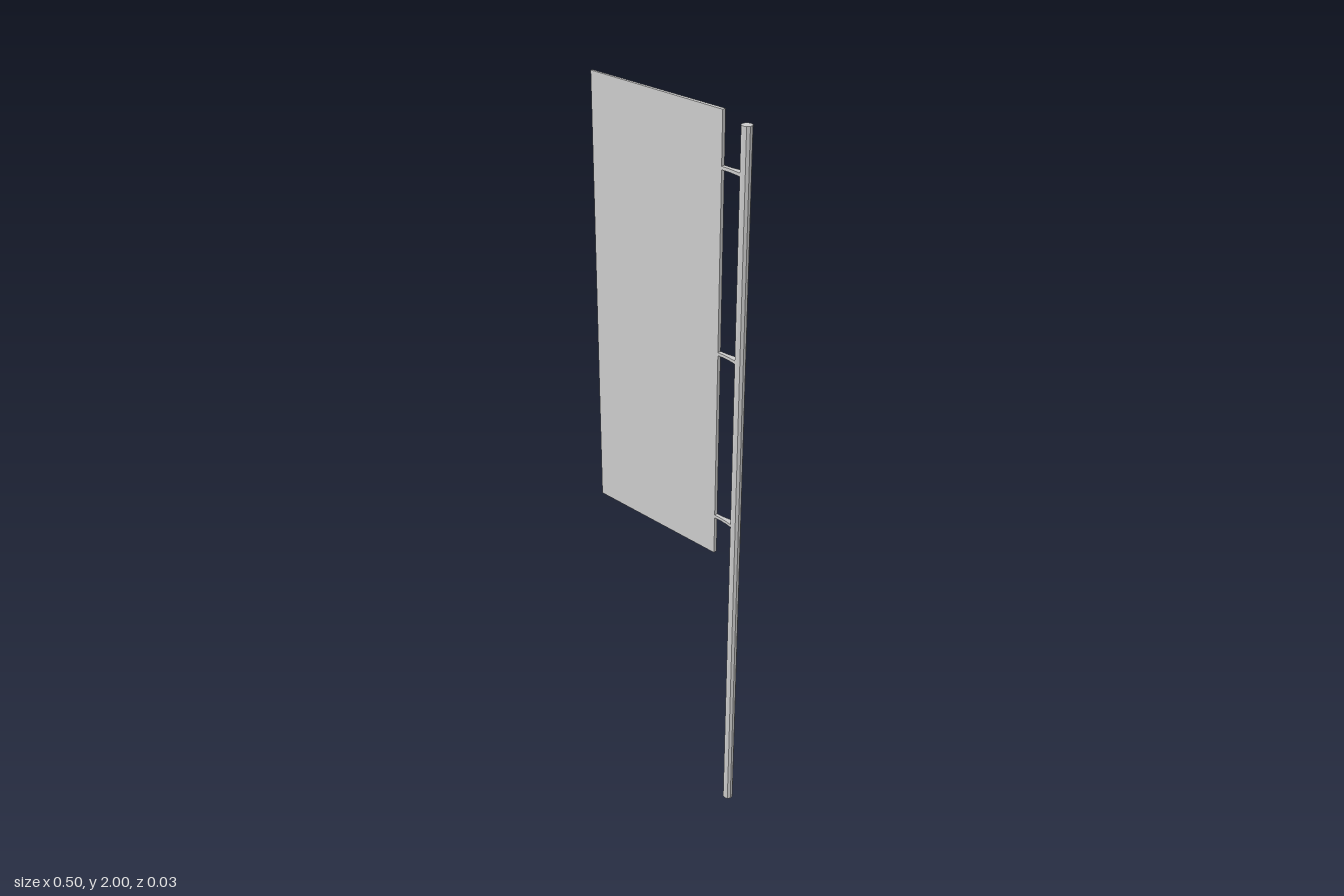
import * as THREE from 'three';

const grey = new THREE.MeshStandardMaterial({ color: 0xcccccc, flatShading: true });

function add(group, name, geometry, x, y, z) {
  const mesh = new THREE.Mesh(geometry, grey);
  mesh.name = name;
  mesh.position.set(x, y, z);
  group.add(mesh);
}

// Flat plan outline (x, z) symmetric about z = 0, raised by a height centred on y = 0
function planSlab(points, height) {
  const mirrored = points.map(([x, z]) => [x, -z]).reverse();
  const shape = new THREE.Shape([...points, ...mirrored].map(([x, z]) => new THREE.Vector2(x, z)));
  const geometry = new THREE.ExtrudeGeometry(shape, { depth: height, bevelEnabled: false });
  return geometry.translate(0, 0, -height / 2).rotateX(-Math.PI / 2);
}

export function createModel() {
  const model = new THREE.Group();
  model.name = 'bannerSign';

  // Upright pole
  add(model, 'pole', new THREE.CylinderGeometry(0.0137, 0.0137, 1.98, 10), 0.234, 0.99, 0);

  // Hanging panel, slightly thicker towards the pole
  const panel = planSlab([[-0.25, 0.003], [0.167, 0.005]], 1.18);
  add(model, 'bannerPanel', panel, 0, 1.41, 0);

  // Three thin brackets that flare where they meet the pole
  const bracket = planSlab([[0.165, 0.005], [0.19, 0.0052], [0.21, 0.0075], [0.23, 0.011]], 0.008);
  for (const y of [0.933, 1.4, 1.866]) add(model, 'bracket', bracket, 0, y, 0);

  return model;
}
